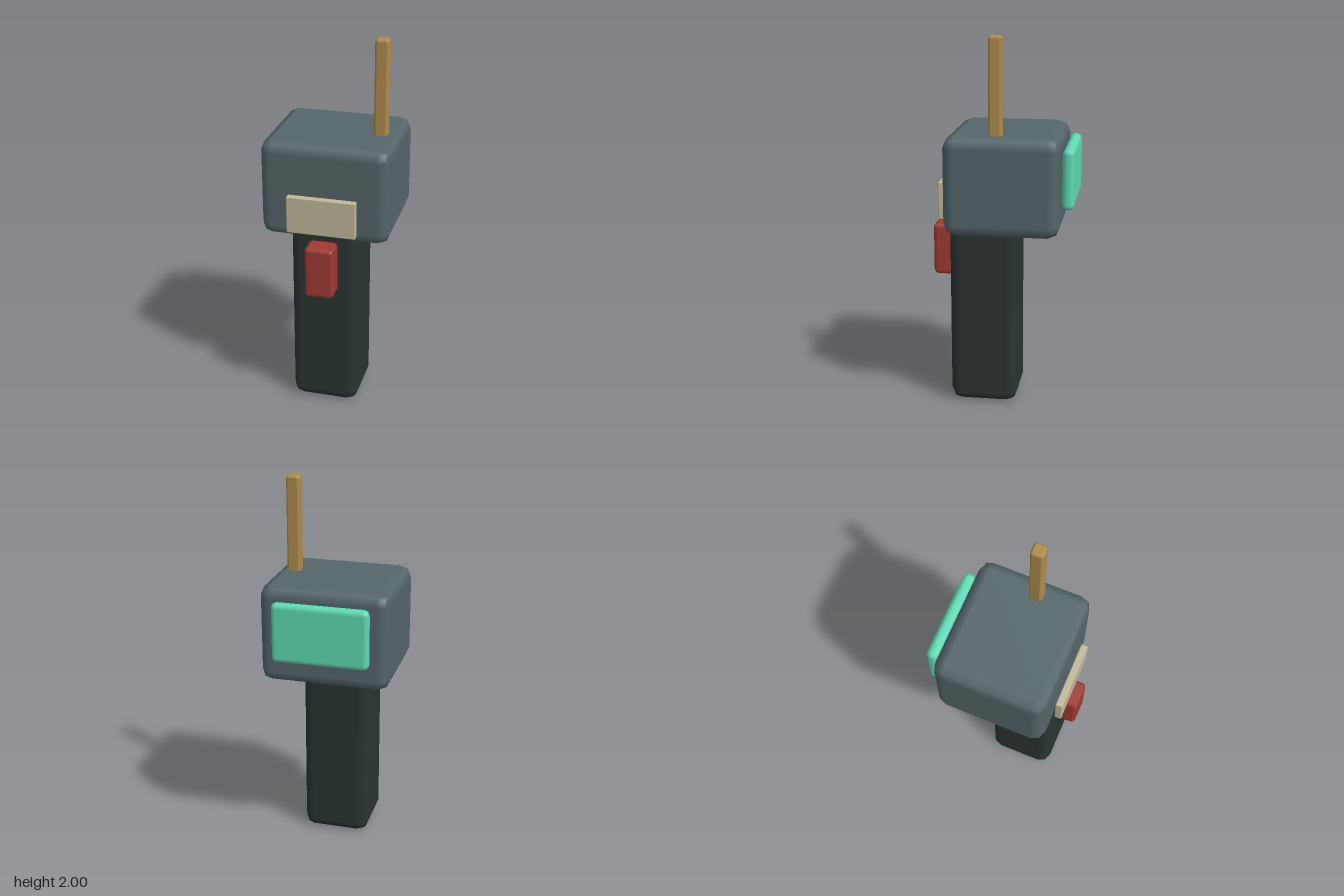
import * as THREE from 'three';
import { RoundedBoxGeometry } from 'three/addons/geometries/RoundedBoxGeometry.js';

function material(name, color) {
  const m = new THREE.MeshStandardMaterial({ color });
  m.name = name;
  return m;
}

// Softly bevelled block given by its extents along each axis
function block(name, mat, [x0, x1], [y0, y1], [z0, z1], radius) {
  const geometry = new RoundedBoxGeometry(x1 - x0, y1 - y0, z1 - z0, 1, radius);
  const mesh = new THREE.Mesh(geometry, mat);
  mesh.name = name;
  mesh.position.set((x0 + x1) / 2, (y0 + y1) / 2, (z0 + z1) / 2);
  return mesh;
}

export function createModel() {
  const slate = material('slate grey', 0x56666a);
  const dark = material('dark grip', 0x2b3533);
  const red = material('trigger red', 0xa03a34);
  const beige = material('beige', 0xc2b89c);
  const teal = material('screen teal', 0x5fdcb4);
  const brass = material('brass', 0xb08d4e);

  const model = new THREE.Group();
  model.name = 'handheldScanner';
  model.add(
    // Main body and grip
    block('head', slate, [-0.342, 0.342], [0.975, 1.498], [-0.318, 0.287], 0.064),
    block('handle', dark, [-0.182, 0.182], [0, 1.08], [-0.08, 0.282], 0.06),
    // Front controls
    block('trigger', red, [-0.077, 0.077], [0.692, 0.975], [0.235, 0.385], 0.022),
    block('frontPlate', beige, [-0.182, 0.182], [1.03, 1.23], [0.297, 0.335], 0.006),
    // Rear screen and antenna
    block('screen', teal, [-0.255, 0.255], [1.115, 1.435], [-0.386, -0.322], 0.03),
    block('antenna', brass, [0.205, 0.277], [1.44, 2.0], [-0.018, 0.052], 0.015)
  );
  return model;
}
